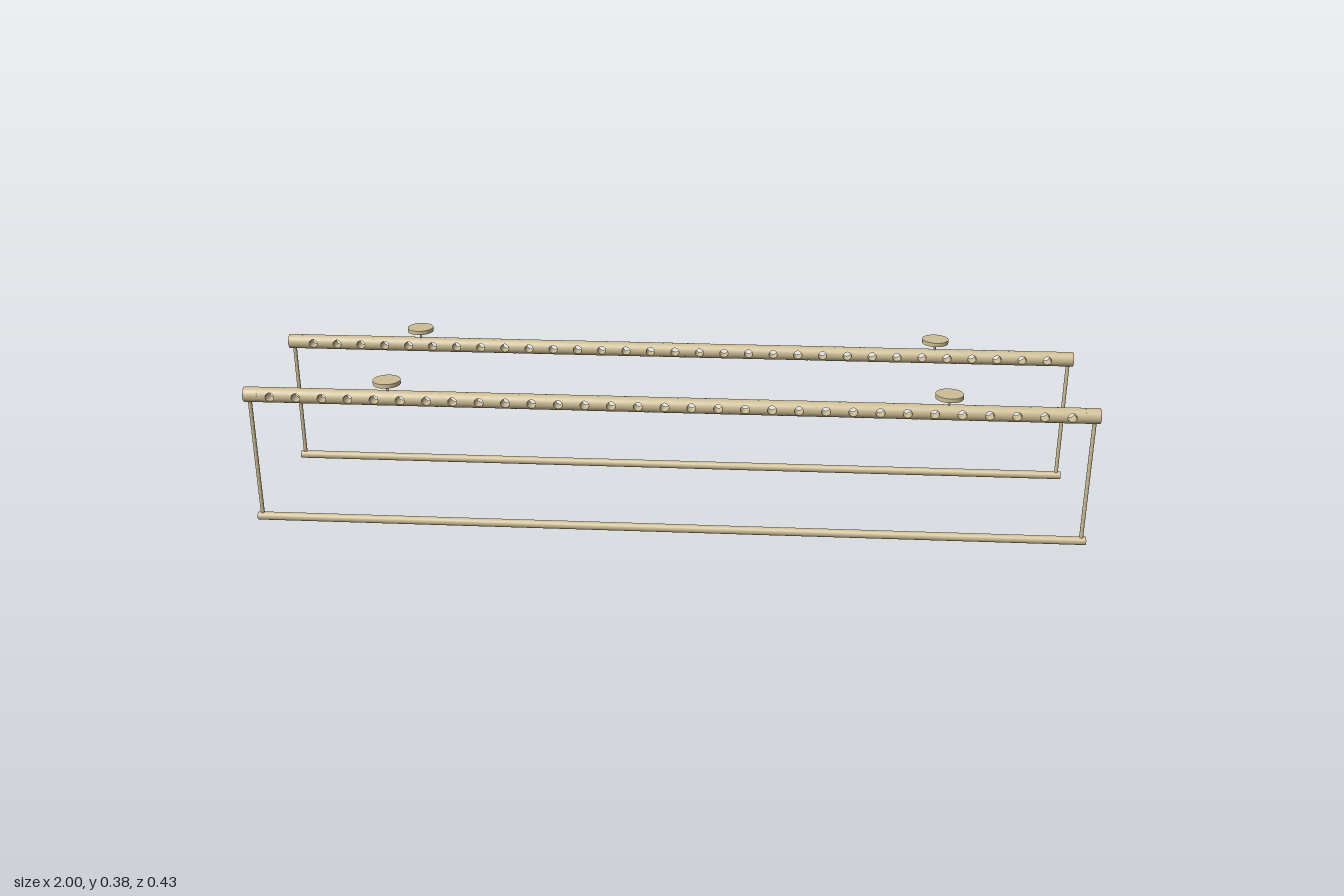
import * as THREE from 'three';
import { mergeGeometries } from 'three/addons/utils/BufferGeometryUtils.js';

const brass = new THREE.MeshStandardMaterial({ color: 0xcdbd95 });
brass.name = 'brass';
const rose = new THREE.MeshStandardMaterial({ color: 0xcf9797 });
rose.name = 'rose';

const R = 0.0183, RAIL_Y = 0.331, BAR_R = 0.01, CAP = 0.002;
const HOLES = 31, PITCH = 0.0623, HOLE_R = 0.0105;

function add(parent, name, geometry, material, x = 0, y = 0, z = 0) {
  const mesh = new THREE.Mesh(geometry, material);
  mesh.name = name;
  mesh.position.set(x, y, z);
  parent.add(mesh);
  return mesh;
}

// Cylinder lying along x
const rod = (r, length, open = false) =>
  new THREE.CylinderGeometry(r, r, length, 32, 1, open).rotateZ(-Math.PI / 2);

// Half of a tube section with a round hole through its side:
// rings blend from the hole edge to the rectangular border in (x, angle) space
function holedHalf() {
  const around = 32, rings = 5, pos = [], nor = [], uv = [], index = [];
  for (let j = 0; j <= rings; j++) {
    for (let i = 0; i <= around; i++) {
      const t = (i / around) * Math.PI * 2, c = Math.cos(t), s = Math.sin(t);
      const m = Math.max(Math.abs(c), Math.abs(s)), k = j / rings;
      const x = THREE.MathUtils.lerp(HOLE_R * c, (c / m) * PITCH / 2, k);
      const a = THREE.MathUtils.lerp(Math.asin(HOLE_R * s / R), (s / m) * Math.PI / 2, k);
      pos.push(x, R * Math.sin(a), R * Math.cos(a));
      nor.push(0, Math.sin(a), Math.cos(a));
      uv.push(i / around, k);
      if (j < rings && i < around) {
        const p = j * (around + 1) + i, q = p + around + 1;
        index.push(p, q, p + 1, p + 1, q, q + 1);
      }
    }
  }
  const g = new THREE.BufferGeometry();
  g.setAttribute('position', new THREE.Float32BufferAttribute(pos, 3));
  g.setAttribute('normal', new THREE.Float32BufferAttribute(nor, 3));
  g.setAttribute('uv', new THREE.Float32BufferAttribute(uv, 2));
  g.setIndex(index);
  return g;
}

// Wall of one drilled hole, facing inward and following the tube's curve
function holeWall() {
  const g = new THREE.CylinderGeometry(HOLE_R, HOLE_R, 2, 32, 1, true).rotateX(Math.PI / 2);
  const p = g.attributes.position, n = g.attributes.normal;
  for (let i = 0; i < p.count; i++) {
    p.setZ(i, Math.sign(p.getZ(i)) * Math.sqrt(R * R - p.getY(i) ** 2));
    n.setXYZ(i, -n.getX(i), -n.getY(i), -n.getZ(i));
  }
  const idx = Array.from(g.index.array).reverse();
  g.setIndex(idx);
  return g;
}

function perforatedRail() {
  const half = holedHalf();
  const section = mergeGeometries([half, half.clone().rotateX(Math.PI), holeWall()]);
  const parts = [];
  for (let i = 0; i < HOLES; i++) {
    parts.push(section.clone().translate((i - (HOLES - 1) / 2) * PITCH, 0, 0));
  }
  // Plain ends
  const inner = HOLES * PITCH / 2, len = 1 - CAP - inner;
  for (const s of [-1, 1]) parts.push(rod(R, len, true).translate(s * (inner + len / 2), 0, 0));
  return mergeGeometries(parts);
}

function buildFrame(railGeometry) {
  const frame = new THREE.Group();
  add(frame, 'perforatedRail', railGeometry, brass, 0, RAIL_Y);
  add(frame, 'bottomBar', rod(BAR_R, 2 - 2 * CAP, true), brass, 0, BAR_R);
  for (const s of [-1, 1]) {
    const side = s > 0 ? 'left' : 'right';
    // Coloured end caps
    add(frame, side + 'RailCap', rod(R, CAP), rose, s * (1 - CAP / 2), RAIL_Y);
    add(frame, side + 'BarCap', rod(BAR_R, CAP), rose, s * (1 - CAP / 2), BAR_R);
    // Upright between rail and bar
    const bottom = BAR_R, top = RAIL_Y - R / 2;
    add(frame, side + 'Post', new THREE.CylinderGeometry(0.0047, 0.0047, top - bottom, 16),
      brass, s * 0.989, (top + bottom) / 2);
    // Ceiling mount: collar, stem and disc
    const mount = new THREE.Group();
    mount.name = side + 'Mount';
    mount.position.x = s * 0.655;
    add(mount, 'collar', new THREE.CylinderGeometry(0.0027, 0.0027, 0.015, 12), brass, 0, 0.3535);
    add(mount, 'stem', new THREE.CylinderGeometry(0.0016, 0.0016, 0.012, 12), brass, 0, 0.364);
    add(mount, 'disc', new THREE.CylinderGeometry(0.0325, 0.0325, 0.01, 40), brass, 0, 0.372);
    frame.add(mount);
  }
  return frame;
}

export function createModel() {
  const model = new THREE.Group();
  model.name = 'perforatedHangingRails';
  const railGeometry = perforatedRail();
  for (const s of [1, -1]) {
    const frame = buildFrame(railGeometry);
    frame.name = s > 0 ? 'frontFrame' : 'backFrame';
    frame.position.z = s * 0.1845;
    model.add(frame);
  }
  return model;
}
